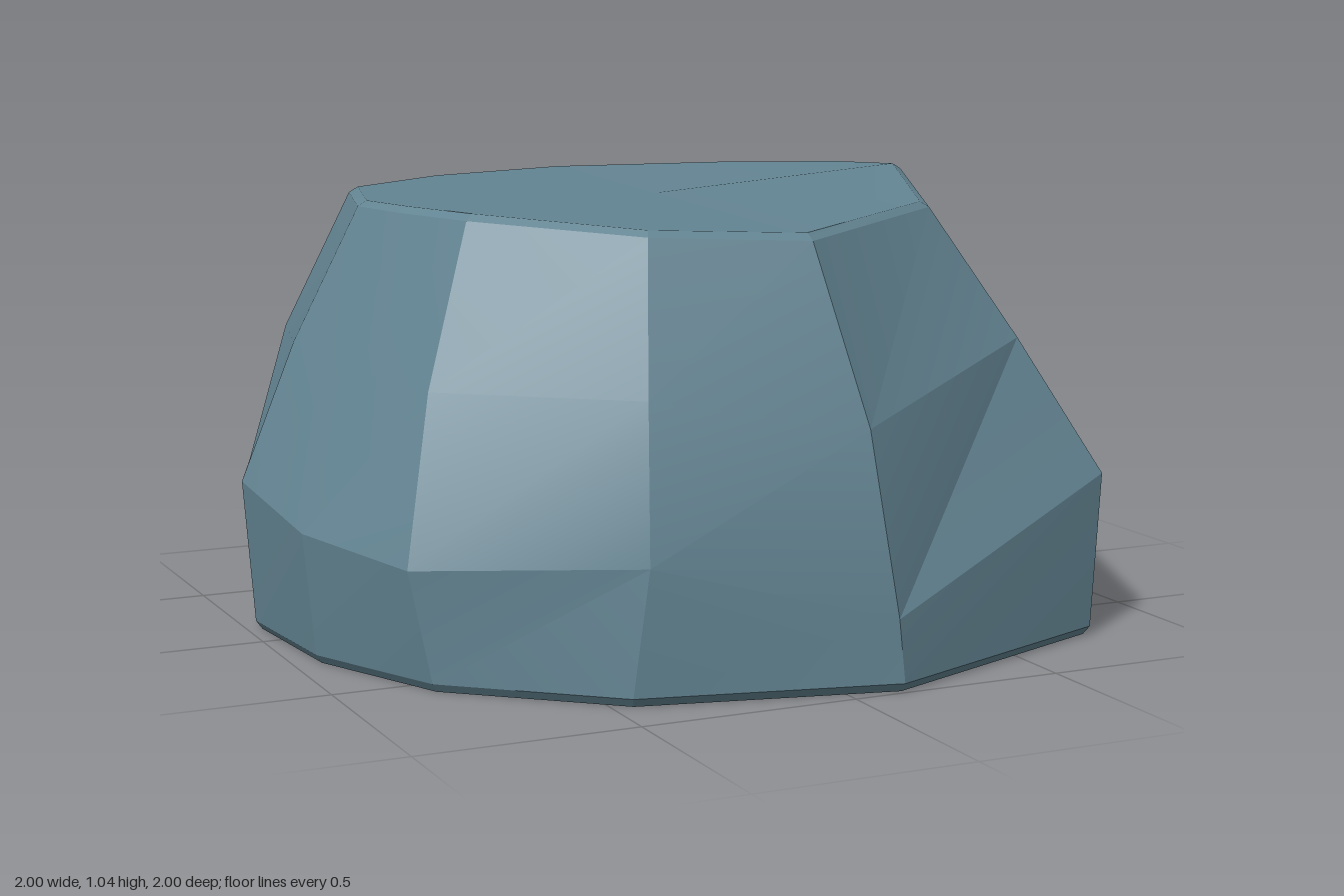
import * as THREE from 'three';
import { mergeVertices, toCreasedNormals } from 'three/addons/utils/BufferGeometryUtils.js';

// Vertical ridges around the boulder, from the back through +x to the front:
// rim [x, y, z], widest point [x, y, z], foot [x, z], outward bulge between rim and widest point
const RIDGES = [
  [[0.03, 1.005, -0.71], [0.06, 0.30, -1.0], [0.06, -0.96], 1.01],
  [[0.48, 1.01, -0.60], [0.63, 0.30, -0.83], [0.64, -0.72], 1.06],
  [[0.64, 1.03, -0.26], [0.95, 0.34, -0.41], [0.94, -0.39], 1.0],
  [[0.67, 1.04, -0.03], [1.0, 0.40, 0.18], [0.98, 0.17], 1.0],
  [[0.49, 0.99, 0.42], [0.81, 0.37, 0.70], [0.76, 0.74], 1.01],
  [[0.03, 0.965, 0.72], [0.11, 0.16, 0.99], [0.12, 1.0], 1.07],
  [[-0.33, 0.98, 0.66], [-0.43, 0.30, 0.89], [-0.46, 0.87], 1.05],
  [[-0.62, 1.0, 0.35], [-0.85, 0.27, 0.57], [-0.80, 0.58], 1.04],
  [[-0.69, 1.0, 0.13], [-0.98, 0.30, 0.25], [-0.95, 0.24], 1.01],
  [[-0.73, 1.0, -0.05], [-1.0, 0.35, -0.14], [-0.98, -0.12], 1.02],
  [[-0.65, 1.005, -0.35], [-0.86, 0.32, -0.55], [-0.83, -0.53], 1.04],
  [[-0.34, 1.0, -0.63], [-0.40, 0.30, -0.93], [-0.39, -0.89], 1.03],
];

// Points down one ridge, with a small worn edge at the rim and foot
function ridgePoints([rim, wide, foot, bulge]) {
  const top = new THREE.Vector3(...rim);
  const side = new THREE.Vector3(...wide);
  const mid = top.clone().lerp(side, 0.5);
  mid.x *= bulge;
  mid.z *= bulge;
  const inner = new THREE.Vector3(top.x * 0.98, top.y, top.z * 0.98);
  const shoulder = top.clone().lerp(mid, 0.04);
  const low = new THREE.Vector3(foot[0], 0.02, foot[1]);
  const base = new THREE.Vector3(foot[0] * 0.985, 0, foot[1] * 0.985);
  return [inner, shoulder, mid, side, low, base];
}

function boulderGeometry() {
  const columns = RIDGES.map(ridgePoints);
  const rings = columns[0].length;
  const topCentre = new THREE.Vector3(0, 0.995, 0);
  const baseCentre = new THREE.Vector3(0, 0, 0);
  const positions = [];
  const tri = (...points) => points.forEach((p) => positions.push(p.x, p.y, p.z));

  columns.forEach((a, i) => {
    const b = columns[(i + 1) % columns.length];
    tri(topCentre, b[0], a[0]);
    for (let r = 0; r < rings - 1; r++) {
      tri(a[r], b[r], b[r + 1]);
      tri(a[r], b[r + 1], a[r + 1]);
    }
    tri(baseCentre, a[rings - 1], b[rings - 1]);
  });

  const geometry = new THREE.BufferGeometry();
  geometry.setAttribute('position', new THREE.Float32BufferAttribute(positions, 3));
  // Soft within each facet, crisp between facets
  return toCreasedNormals(mergeVertices(geometry), 0.28);
}

export function createModel() {
  const stone = new THREE.MeshStandardMaterial({ name: 'blueGreyStone', color: 0x638492 });
  const boulder = new THREE.Mesh(boulderGeometry(), stone);
  boulder.name = 'boulder';

  const model = new THREE.Group();
  model.name = 'flatToppedRock';
  model.add(boulder);
  return model;
}
